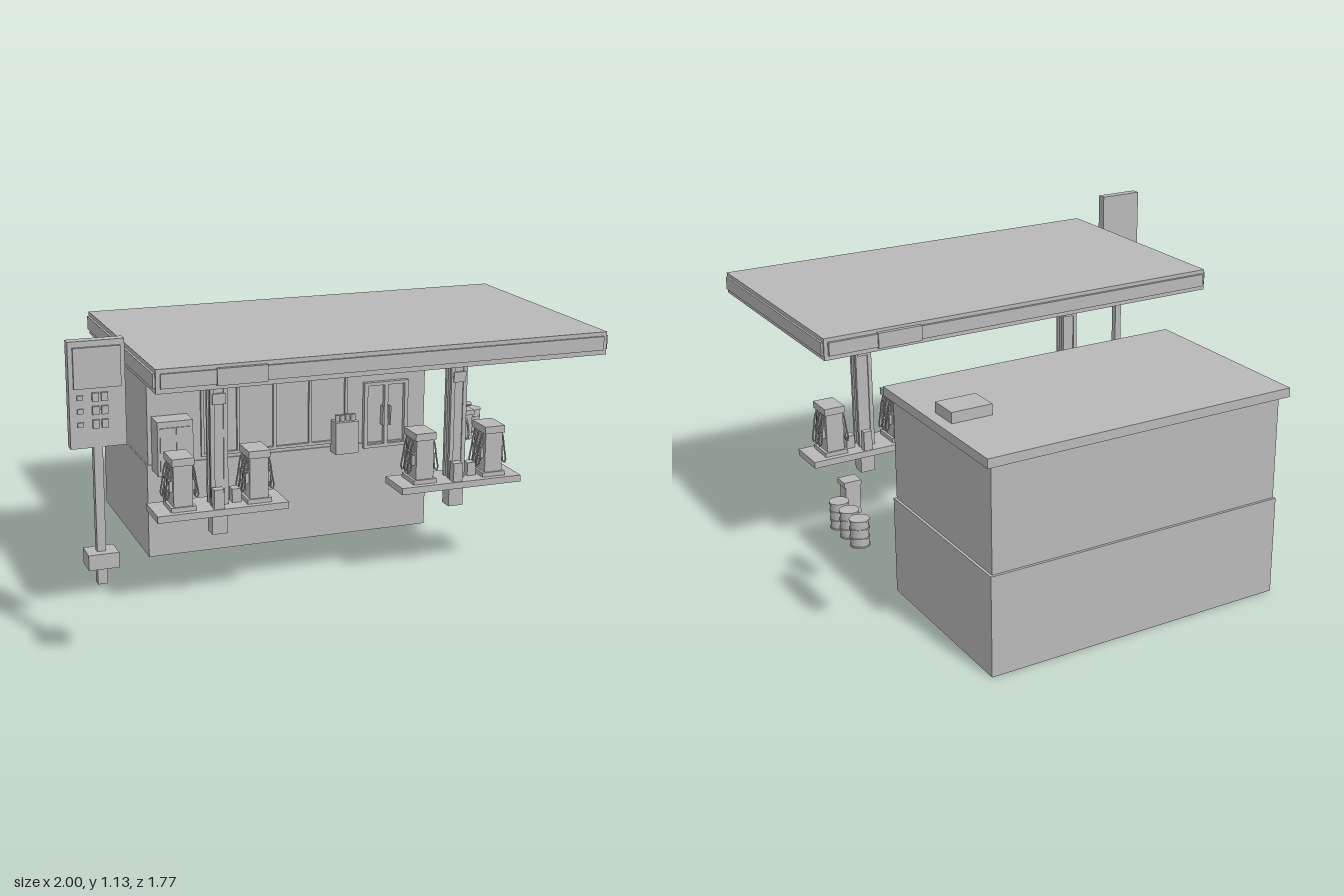
import * as THREE from 'three';

const grey = new THREE.MeshStandardMaterial({ color: 0xb8b8b8 });
grey.name = 'plain grey';

function add(parent, name, geometry) {
  const mesh = new THREE.Mesh(geometry, grey);
  mesh.name = name;
  parent.add(mesh);
  return mesh;
}

// box given by its limits along x, y and z
function box(parent, name, x0, x1, y0, y1, z0, z1) {
  const mesh = add(parent, name, new THREE.BoxGeometry(x1 - x0, y1 - y0, z1 - z0));
  mesh.position.set((x0 + x1) / 2, (y0 + y1) / 2, (z0 + z1) / 2);
  return mesh;
}

function cylinder(parent, name, r, y0, y1, x, z, sides = 16) {
  const mesh = add(parent, name, new THREE.CylinderGeometry(r, r, y1 - y0, sides));
  mesh.position.set(x, (y0 + y1) / 2, z);
  return mesh;
}

function tube(parent, name, points, r) {
  const curve = new THREE.CatmullRomCurve3(points.map(p => new THREE.Vector3(...p)));
  return add(parent, name, new THREE.TubeGeometry(curve, 12, r, 6));
}

function group(parent, name) {
  const g = new THREE.Group();
  g.name = name;
  parent.add(g);
  return g;
}

function buildShop(root) {
  const g = group(root, 'shop');
  box(g, 'foundation', -0.5, 0.71, 0, 0.385, -0.865, -0.132);
  box(g, 'walls', -0.495, 0.7, 0.385, 0.792, -0.855, -0.138);
  box(g, 'roofSlab', -0.52, 0.728, 0.79, 0.825, -0.885, -0.115);
  box(g, 'roofUnit', 0.525, 0.685, 0.825, 0.866, -0.56, -0.44);
  box(g, 'fascia', -0.465, 0.67, 0.7, 0.775, -0.14, -0.125);
  // shop window frame
  for (const x of [-0.27, -0.12, 0.035, 0.188, 0.345])
    box(g, 'windowMullion', x - 0.006, x + 0.006, 0.4, 0.7, -0.14, -0.126);
  box(g, 'windowSill', -0.276, 0.351, 0.4, 0.412, -0.14, -0.126);
  box(g, 'windowHead', -0.276, 0.351, 0.69, 0.7, -0.14, -0.126);
  // double door
  for (const x of [0.43, 0.52, 0.61])
    box(g, 'doorPost', x - 0.008, x + 0.008, 0.365, 0.645, -0.14, -0.118);
  for (const y of [0.372, 0.638])
    box(g, 'doorRail', 0.422, 0.618, y - 0.007, y + 0.007, -0.14, -0.118);
  for (const x of [0.505, 0.535])
    box(g, 'doorHandle', x - 0.003, x + 0.003, 0.46, 0.54, -0.14, -0.108);
}

function buildForecourt(root) {
  const g = group(root, 'forecourtGoods');
  // ice chest
  box(g, 'iceChest', -0.48, -0.335, 0.365, 0.585, -0.132, -0.04);
  box(g, 'chestDoor', -0.47, -0.411, 0.385, 0.56, -0.04, -0.035);
  box(g, 'chestDoor', -0.404, -0.345, 0.385, 0.56, -0.04, -0.035);
  // goods rack with cans on top
  box(g, 'goodsRack', 0.28, 0.38, 0.365, 0.5, -0.132, -0.075);
  for (let i = 0; i < 4; i++) cylinder(g, 'can', 0.01, 0.5, 0.527, 0.295 + i * 0.023, -0.1, 10);
  // air machine
  box(g, 'airMachine', 0.848, 0.905, 0.365, 0.475, -0.145, -0.095);
  box(g, 'airMachineHead', 0.843, 0.91, 0.475, 0.495, -0.145, -0.085);
  tube(g, 'airHose', [[0.876, 0.46, -0.095], [0.878, 0.43, -0.078], [0.876, 0.38, -0.07], [0.876, 0.37, -0.095]], 0.004);
  // barrels with hoops
  for (const z of [-0.213, -0.298, -0.382]) {
    cylinder(g, 'barrel', 0.033, 0.365, 0.467, 0.963, z, 20);
    for (const y of [0.365, 0.396, 0.43, 0.461]) cylinder(g, 'barrelHoop', 0.036, y, y + 0.006, 0.963, z, 20);
  }
}

function buildCanopy(root) {
  const g = group(root, 'canopy');
  box(g, 'canopySlab', -0.725, 0.935, 0.95, 1.033, -0.083, 0.87);
  box(g, 'trimBandLong', -0.71, 0.92, 0.968, 1.018, -0.094, 0.878);
  box(g, 'trimBandShort', -0.733, 0.943, 0.968, 1.018, -0.075, 0.862);
  box(g, 'frontPlate', -0.52, -0.345, 0.964, 1.022, 0.87, 0.884);
  box(g, 'backPlate', 0.555, 0.73, 0.964, 1.022, -0.1, -0.083);
  // ceiling lamps, narrower at the bottom
  for (const x of [-0.55, -0.11, 0.32, 0.76]) {
    for (const z of [0.145, 0.645]) {
      const lamp = add(g, 'ceilingLamp', new THREE.CylinderGeometry(0.064, 0.05, 0.014, 4, 1).toNonIndexed());
      lamp.geometry.computeVertexNormals();
      lamp.position.set(x, 0.944, z);
      lamp.rotation.y = Math.PI / 4;
    }
    box(g, 'lampConduit', x - 0.004, x + 0.004, 0.945, 0.95, 0.19, 0.6);
  }
}

function buildPump(parent, x) {
  const g = group(parent, 'fuelPump');
  g.position.set(x, 0.385, 0.395);
  box(g, 'pumpBase', -0.047, 0.047, 0, 0.02, -0.057, 0.057);
  box(g, 'pumpBody', -0.036, 0.036, 0.02, 0.18, -0.05, 0.05);
  box(g, 'pumpHead', -0.042, 0.042, 0.175, 0.203, -0.056, 0.056);
  for (const s of [-1, 1]) {
    const side = (name, y0, y1, z0, z1, d) =>
      box(g, name, Math.min(s * 0.036, s * d), Math.max(s * 0.036, s * d), y0, y1, z0, z1);
    side('pumpScreen', 0.125, 0.165, -0.035, 0.035, 0.04);
    // three nozzles with hanging hoses
    for (const z of [-0.03, 0, 0.03]) {
      side('nozzle', 0.075, 0.115, z - 0.006, z + 0.006, 0.048);
      tube(g, 'hose', [[s * 0.036, 0.178, z], [s * 0.046, 0.16, z], [s * 0.056, 0.1, z],
        [s * 0.063, 0.05, z], [s * 0.055, 0.04, z], [s * 0.046, 0.08, z]], 0.003);
    }
  }
}

function buildIsland(root, x) {
  const g = group(root, 'pumpIsland');
  g.position.x = x;
  box(g, 'islandSlab', -0.25, 0.25, 0.362, 0.388, 0.315, 0.475);
  box(g, 'footing', -0.03, 0.03, 0.275, 0.362, 0.367, 0.423);
  // column with raised corner strips and a collar
  box(g, 'columnCore', -0.027, 0.027, 0.385, 0.952, 0.372, 0.418);
  for (const sx of [-1, 1]) for (const sz of [-1, 1])
    box(g, 'columnCorner', sx * 0.025 - 0.008, sx * 0.025 + 0.008, 0.385, 0.952,
      0.395 + sz * 0.021 - 0.007, 0.395 + sz * 0.021 + 0.007);
  box(g, 'columnCollar', -0.025, 0.025, 0.77, 0.81, 0.362, 0.428);
  for (const s of [-0.145, 0.145]) buildPump(g, s);
  // litter bin, bucket stand and low box beside the column
  box(g, 'litterBin', -0.035, 0.002, 0.388, 0.462, 0.435, 0.47);
  box(g, 'stand', 0.0, 0.035, 0.388, 0.468, 0.318, 0.345);
  box(g, 'lowBox', 0.05, 0.085, 0.388, 0.44, 0.375, 0.415);
}

function buildPriceSign(root) {
  const g = group(root, 'priceSign');
  box(g, 'signFooting', -0.925, -0.893, 0.305, 0.367, 0.796, 0.828);
  box(g, 'signBase', -0.96, -0.857, 0.367, 0.42, 0.772, 0.855);
  box(g, 'signPole', -0.924, -0.894, 0.42, 0.785, 0.798, 0.826);
  box(g, 'signBoard', -1, -0.814, 0.78, 1.135, 0.79, 0.828);
  box(g, 'signPanel', -0.985, -0.829, 0.98, 1.115, 0.828, 0.837);
  // price rows
  for (const y of [0.86, 0.905, 0.95]) {
    for (const x of [-0.915, -0.885])
      box(g, 'priceTile', x - 0.011, x + 0.011, y - 0.014, y + 0.014, 0.828, 0.837);
    box(g, 'gradeTile', -0.975, -0.955, y - 0.008, y + 0.008, 0.828, 0.834);
  }
}

export function createModel() {
  const root = new THREE.Group();
  root.name = 'fuelStation';
  buildShop(root);
  buildForecourt(root);
  buildCanopy(root);
  for (const x of [-0.373, 0.582]) buildIsland(root, x);
  buildPriceSign(root);
  return root;
}
